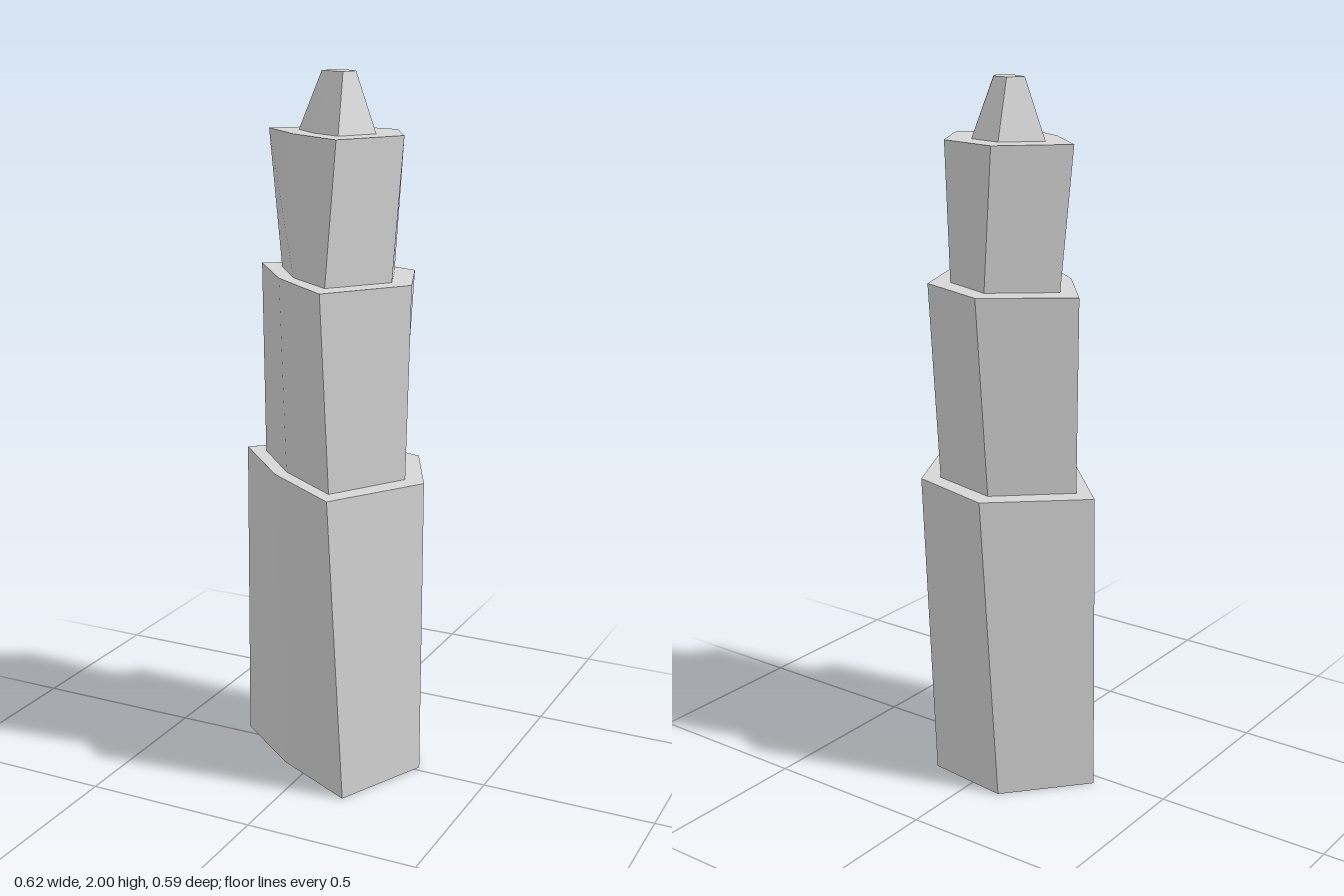
import * as THREE from 'three';

// Closed block lofted between two six-sided [x, z] rings, one normal per face.
function taperedBlock(y0, y1, bottom, top) {
  const pos = [];
  const nor = [];
  const lift = (ring, y) => ring.map(([x, z]) => new THREE.Vector3(x, y, z));
  const b = lift(bottom, y0);
  const t = lift(top, y1);
  const tri = (normal, ...corners) => corners.forEach((p) => {
    pos.push(p.x, p.y, p.z);
    nor.push(normal.x, normal.y, normal.z);
  });
  const up = new THREE.Vector3(0, 1, 0);
  const down = new THREE.Vector3(0, -1, 0);
  const n = b.length;
  for (let i = 0; i < n; i++) {
    const j = (i + 1) % n;
    // the slightly twisted side shares a single normal, from its diagonals
    const out = t[i].clone().sub(b[j]).cross(t[j].clone().sub(b[i])).negate().normalize();
    tri(out, b[j], b[i], t[j]);
    tri(out, b[i], t[i], t[j]);
    // caps, fanned from the first corner
    if (i > 0 && j > 0) {
      tri(up, t[0], t[j], t[i]);
      tri(down, b[0], b[i], b[j]);
    }
  }
  const geo = new THREE.BufferGeometry();
  geo.setAttribute('position', new THREE.Float32BufferAttribute(pos, 3));
  geo.setAttribute('normal', new THREE.Float32BufferAttribute(nor, 3));
  return geo;
}

// Rings run clockwise seen from above, starting at the back.
const TIERS = [
  {
    name: 'baseTier', y: [0, 0.89],
    bottom: [[-0.1, -0.252], [0.145, -0.222], [0.29, -0.018], [0.168, 0.252], [-0.08, 0.125], [-0.288, -0.039]],
    top: [[-0.072, -0.294], [0.188, -0.221], [0.308, 0.025], [0.138, 0.291], [-0.105, 0.128], [-0.309, -0.086]],
  },
  {
    name: 'middleTier', y: [0.89, 1.445],
    bottom: [[-0.058, -0.236], [0.15, -0.181], [0.246, 0.013], [0.114, 0.23], [-0.085, 0.095], [-0.24, -0.073]],
    top: [[-0.043, -0.267], [0.182, -0.186], [0.269, 0.038], [0.102, 0.26], [-0.102, 0.099], [-0.264, -0.104]],
  },
  {
    name: 'upperTier', y: [1.445, 1.837],
    bottom: [[-0.024, -0.202], [0.14, -0.138], [0.204, 0.024], [0.08, 0.184], [-0.07, 0.075], [-0.183, -0.075]],
    top: [[-0.054, -0.209], [0.131, -0.169], [0.225, -0.001], [0.116, 0.19], [-0.061, 0.086], [-0.211, -0.056]],
  },
  {
    name: 'peak', y: [1.837, 2],
    bottom: [[-0.02, -0.131], [0.086, -0.108], [0.138, -0.012], [0.077, 0.097], [-0.025, 0.04], [-0.111, -0.043]],
    top: [[0, -0.065], [0.045, -0.062], [0.07, -0.028], [0.054, 0.02], [0.007, 0.001], [-0.031, -0.025]],
  },
];

export function createModel() {
  const stone = new THREE.MeshStandardMaterial({ color: 0xd6d6d6 });
  stone.name = 'pale grey stone';

  const group = new THREE.Group();
  group.name = 'steppedRockSpire';
  for (const { name, y, bottom, top } of TIERS) {
    const mesh = new THREE.Mesh(taperedBlock(y[0], y[1], bottom, top), stone);
    mesh.name = name;
    group.add(mesh);
  }
  return group;
}
